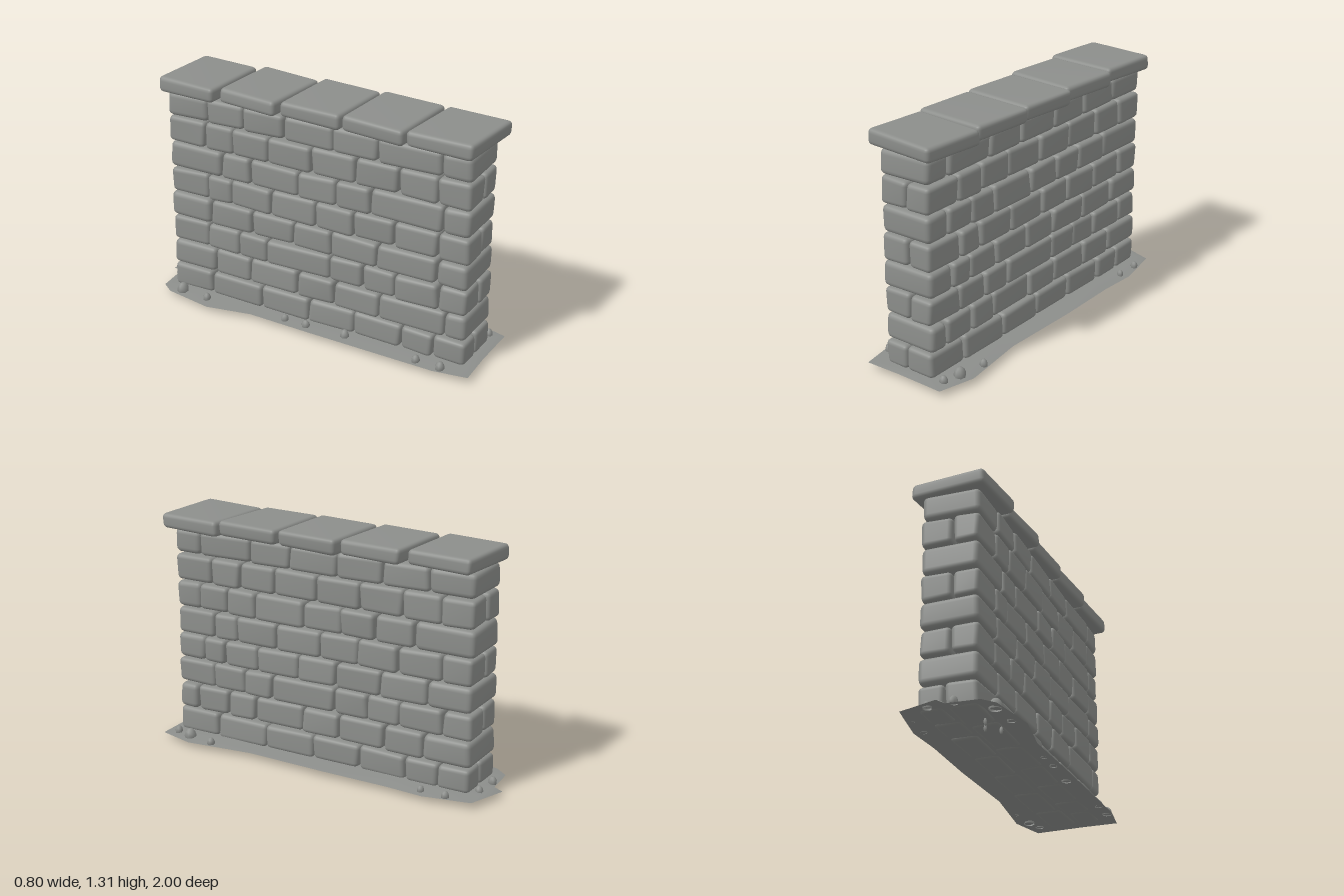
import * as THREE from 'three';
import { mergeVertices } from 'three/addons/utils/BufferGeometryUtils.js';
import { RoundedBoxGeometry } from 'three/addons/geometries/RoundedBoxGeometry.js';

const stoneGrey = new THREE.MeshStandardMaterial({ color: 0x8c8e8b, side: THREE.DoubleSide });
stoneGrey.name = 'stoneGrey';

let seed = 7;
const rand = () => {
  seed = (seed * 16807) % 2147483647;
  return seed / 2147483647;
};
const jitter = (a) => (rand() * 2 - 1) * a;

// Worn block: a rounded box whose eight corners are pulled about at random
function stone(parent, name, [x0, x1], [y0, y1], [z0, z1], radius, wear) {
  const w = x1 - x0, h = y1 - y0, d = z1 - z0;
  let geo = new RoundedBoxGeometry(w, h, d, 2, radius);
  geo.deleteAttribute('normal');
  geo.deleteAttribute('uv');
  geo = mergeVertices(geo, 1e-4);
  const corners = Array.from({ length: 8 }, () =>
    new THREE.Vector3(jitter(wear), jitter(wear * 0.6), jitter(wear)));
  const p = geo.attributes.position;
  const v = new THREE.Vector3();
  for (let i = 0; i < p.count; i++) {
    v.fromBufferAttribute(p, i);
    const t = [v.x / w + 0.5, v.y / h + 0.5, v.z / d + 0.5];
    corners.forEach((c, k) => {
      const weight = t.reduce((a, f, axis) => a * ((k >> axis) & 1 ? f : 1 - f), 1);
      v.addScaledVector(c, weight);
    });
    p.setXYZ(i, v.x, v.y, v.z);
  }
  geo.computeVertexNormals();
  const mesh = new THREE.Mesh(geo, stoneGrey);
  mesh.name = name;
  mesh.position.set((x0 + x1) / 2, (y0 + y1) / 2, (z0 + z1) / 2);
  parent.add(mesh);
  return mesh;
}

// Joints along each course, from the front end to the back end
const COURSES = [
  [0.65, 0.33, 0.03, -0.25, -0.53, -0.72],
  [0.78, 0.58, 0.4, 0.1, -0.13, -0.4, -0.63],
  [0.67, 0.47, 0.29, -0.1, -0.3, -0.49, -0.74],
  [0.73, 0.59, 0.38, 0.12, -0.11, -0.38, -0.65],
  [0.66, 0.51, 0.26, -0.01, -0.24, -0.48, -0.73],
  [0.75, 0.57, 0.39, 0.09, -0.14, -0.34, -0.57],
  [0.67, 0.49, 0.27, 0.01, -0.25, -0.5, -0.72],
  [0.74, 0.42, 0.17, -0.12, -0.38, -0.65],
];
const COURSE_Y = [0.038, 0.178, 0.327, 0.475, 0.621, 0.772, 0.924, 1.079, 1.22];
const HALF_LENGTH = 0.906, HALF_WIDTH = 0.156, GAP = 0.002;

function buildWall() {
  const wall = new THREE.Group();
  wall.name = 'wall';
  COURSES.forEach((cuts, row) => {
    const course = new THREE.Group();
    course.name = 'course' + (row + 1);
    wall.add(course);
    const y = [COURSE_Y[row] + 0.001, COURSE_Y[row + 1] - 0.006];
    const header = row % 2 === 1;
    const split = row === 0 ? -0.015 : 0.012;
    for (const side of [1, -1]) {
      // The left face uses the joints turned end for end, keeping the headers shared
      let joints = side > 0 ? cuts : cuts.map((c) => -c).reverse();
      if (header) joints = [cuts[0], ...joints.slice(1, -1).filter(
        (c) => c < cuts[0] - 0.08 && c > cuts.at(-1) + 0.08), cuts.at(-1)];
      const z = [HALF_LENGTH, ...joints, -HALF_LENGTH];
      for (let i = 0; i < z.length - 1; i++) {
        const front = i === 0, back = i === z.length - 2;
        const span = [z[i + 1] + GAP, z[i] - GAP];
        const face = HALF_WIDTH + jitter(0.003);
        if (header && (front || back)) {
          if (side > 0) stone(course, 'headerStone', [-face, face], y, span, 0.03, 0.006);
          continue;
        }
        const inner = front ? split : back ? -split : 0;
        const x = side > 0 ? [inner + GAP, face] : [-face, inner - GAP];
        stone(course, 'wallStone', x, y, span, 0.025, 0.007);
      }
    }
  });
  wall.position.set(-0.016, 0, 0.012);
  wall.rotation.y = 0.16;
  return wall;
}

// Five broad slabs along the top, each turned a little less than the wall
function buildCaps() {
  const caps = new THREE.Group();
  caps.name = 'capStones';
  [[-0.13, -0.715], [-0.06, -0.342], [0.002, 0.022], [0.056, 0.388], [0.112, 0.755]].forEach(([x, z], i) => {
    const len = i === 4 ? 0.185 : 0.18;
    const slab = stone(caps, 'capStone', [-0.208, 0.208], [1.22, 1.304], [-len, len], 0.024, 0.006);
    slab.position.x = x;
    slab.position.z = z;
    slab.rotation.set(jitter(0.012), 0.085 + jitter(0.012), jitter(0.01));
  });
  return caps;
}

// Thin irregular patch of earth, raised a little towards the wall
function buildGround() {
  const outline = [
    [-0.18, -1], [0.05, -0.96], [0.14, -0.71], [0.16, -0.5], [0.23, -0.13], [0.29, 0.34],
    [0.4, 0.71], [0.38, 0.92], [0.11, 0.96], [-0.09, 1], [-0.15, 0.82], [-0.26, 0.08],
    [-0.31, -0.29], [-0.4, -0.54], [-0.4, -0.82], [-0.36, -0.9], [-0.19, -0.94],
  ];
  const n = outline.length;
  const pos = [], index = [];
  for (const [x, z] of outline) pos.push(x, 0.033 + jitter(0.003), z);
  for (const [x, z] of outline) pos.push(x * 0.6 + 0.064 * z, 0.046 + jitter(0.004), z * 0.94);
  pos.push(0, 0.044, 0);
  for (let i = 0; i < n; i++) {
    const j = (i + 1) % n;
    index.push(i, n + i, j, j, n + i, n + j, n + i, 2 * n, n + j);
  }
  const geo = new THREE.BufferGeometry();
  geo.setAttribute('position', new THREE.Float32BufferAttribute(pos, 3));
  geo.setIndex(index);
  geo.computeVertexNormals();
  const ground = new THREE.Mesh(geo, stoneGrey);
  ground.name = 'ground';
  return ground;
}

function buildPebbles() {
  const pebbles = new THREE.Group();
  pebbles.name = 'pebbles';
  const add = (name, geo, x, y, z, stretch) => {
    const pebble = new THREE.Mesh(geo, stoneGrey);
    pebble.name = name;
    pebble.position.set(x, y, z);
    pebble.scale.set(1, stretch, 1.1);
    pebble.rotation.y = rand() * 6;
    pebbles.add(pebble);
  };
  // Domes resting on the earth: x, z, radius
  for (const [x, z, r] of [
    [-0.22, -0.91, 0.022], [-0.08, -0.92, 0.022], [-0.355, -0.76, 0.032], [-0.34, -0.59, 0.022],
    [0.08, -0.82, 0.02], [0.1, -0.68, 0.018], [-0.24, -0.1, 0.019], [-0.22, 0.03, 0.022],
    [-0.17, 0.26, 0.025], [0.34, 0.59, 0.021], [0.34, 0.75, 0.032], [-0.13, 0.7, 0.022],
    [-0.11, 0.84, 0.025], [0.33, 0.85, 0.022],
  ]) add('pebble', new THREE.SphereGeometry(r, 7, 4, 0, Math.PI * 2, 0, Math.PI * 0.6), x, 0.045, z, 1.4);
  // Slim shards half sunk under the earth
  for (const [x, y, z] of [[-0.26, 0.021, -0.55], [-0.25, 0.021, -0.68], [-0.2, 0.028, -0.6]])
    add('buriedShard', new THREE.SphereGeometry(0.009, 6, 4), x, y, z, 2.33);
  return pebbles;
}

export function createModel() {
  const model = new THREE.Group();
  model.name = 'stoneWall';
  model.add(buildWall(), buildCaps(), buildGround(), buildPebbles());
  return model;
}
